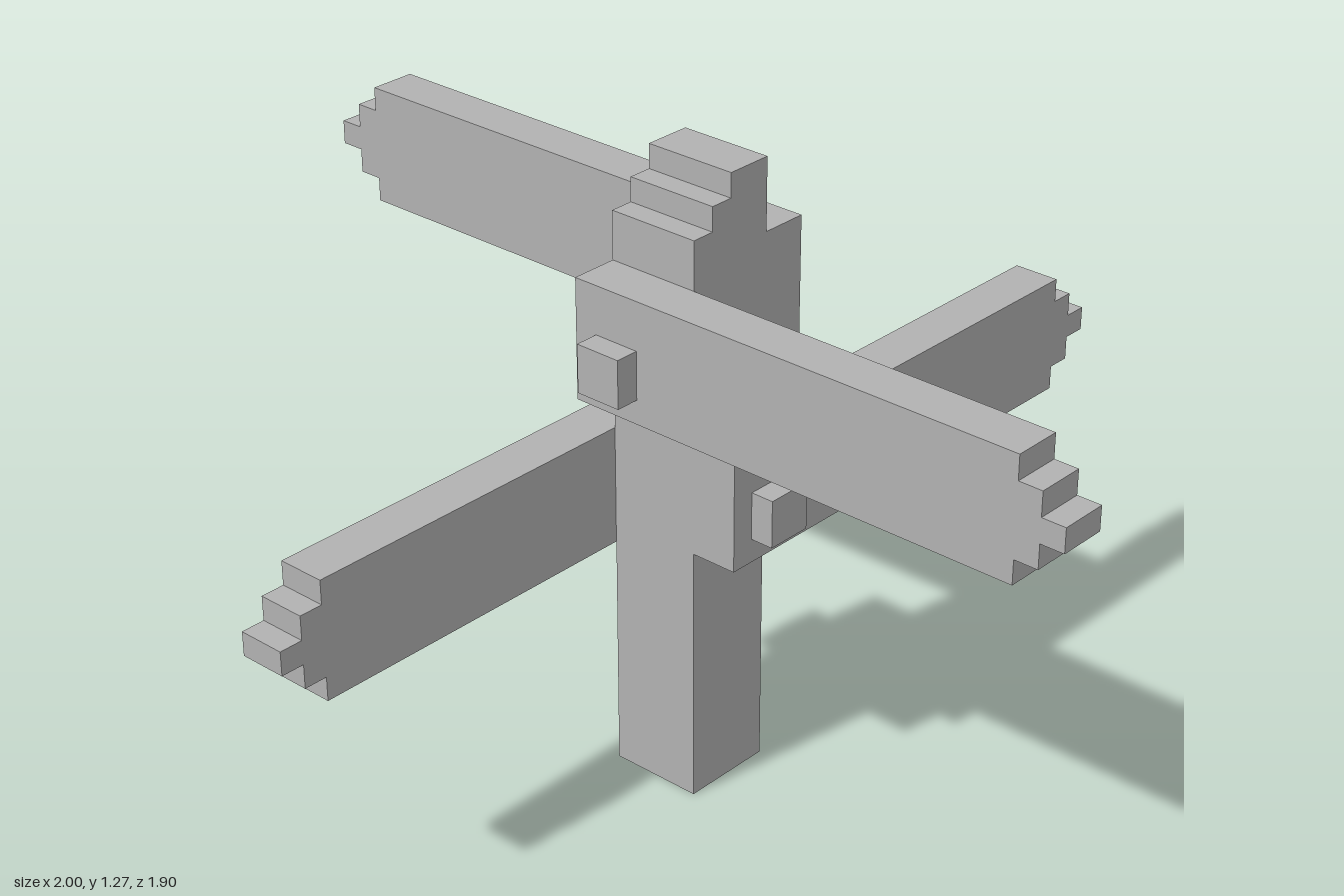
import * as THREE from 'three';

// One block unit: the model is 41 units wide.
const U = 2 / 41;

export function createModel() {
  const model = new THREE.Group();
  model.name = 'signpost';
  const grey = new THREE.MeshStandardMaterial({ color: 0xb2b2b2 });

  // Extrudes an outline of [x, y] points from z to z + depth, all in block units.
  const slab = (name, points, z, depth) => {
    const shape = new THREE.Shape(points.map(([x, y]) => new THREE.Vector2(x * U, y * U)));
    const geometry = new THREE.ExtrudeGeometry(shape, { depth: depth * U, bevelEnabled: false });
    geometry.translate(0, 0, z * U);
    const mesh = new THREE.Mesh(geometry, grey);
    mesh.name = name;
    return mesh;
  };

  // Everything is arranged around the axis of the post.
  const center = new THREE.Group();
  center.name = 'postAndSigns';
  center.position.set(0.5 * U, 0, 0.5 * U);
  model.add(center);

  // Post with a top stepping down to the front (outline drawn facing sideways).
  const post = slab('post', [
    [-2, 0], [2, 0], [2, 26], [0, 26], [0, 25], [-1, 25], [-1, 24], [-2, 24],
  ], -2, 4);
  post.rotation.y = Math.PI / 2;
  center.add(post);

  // Four sign boards in a pinwheel, each with a stepped point and a nail.
  const signs = [
    { name: 'frontSign', end: 20, bottom: 17 },
    { name: 'leftSign', end: 20, bottom: 11 },
    { name: 'backSign', end: 21, bottom: 18 },
    { name: 'rightSign', end: 19, bottom: 10 },
  ];
  signs.forEach(({ name, end, bottom }, i) => {
    const sign = new THREE.Group();
    sign.name = name;
    sign.position.y = bottom * U;
    sign.rotation.y = i * Math.PI / 2;
    sign.add(slab('board', [
      [-2, 0], [end - 2, 0], [end - 2, 1], [end - 1, 1], [end - 1, 2], [end, 2],
      [end, 3], [end - 1, 3], [end - 1, 4], [end - 2, 4], [end - 2, 5], [-2, 5],
    ], 2, 2));

    const nail = new THREE.Mesh(new THREE.BoxGeometry(2 * U, 2 * U, U), grey);
    nail.name = 'nail';
    nail.position.set(0, 2 * U, 4.5 * U);
    sign.add(nail);
    center.add(sign);
  });

  return model;
}
